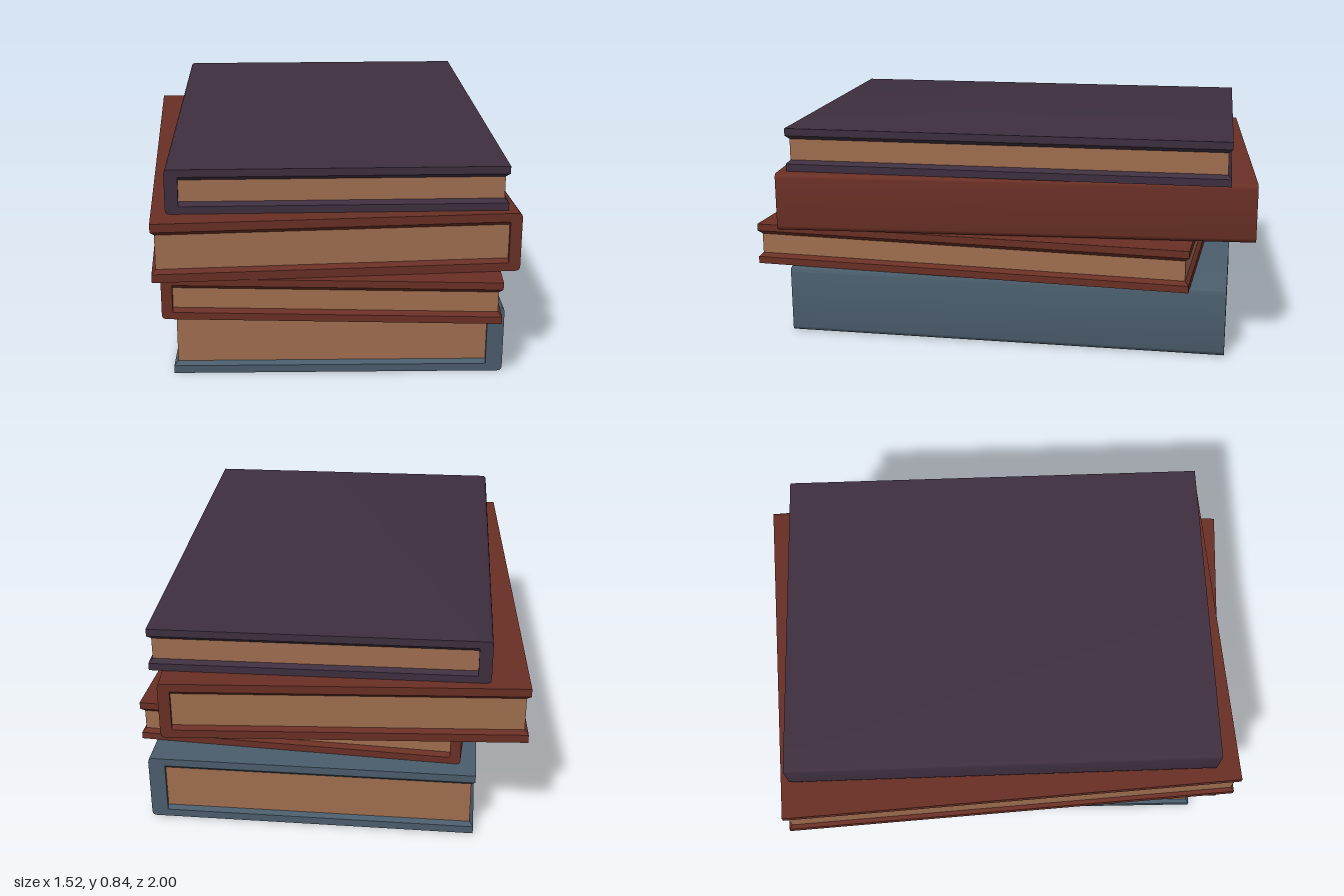
import * as THREE from 'three';
import { toCreasedNormals } from 'three/addons/utils/BufferGeometryUtils.js';

const material = (name, color) => {
  const m = new THREE.MeshStandardMaterial({ color });
  m.name = name;
  return m;
};

const INSET = 0.015; // pages sit this far inside the cover edges
const ROUND = 0.018; // rounding of the spine corners

// C-shaped cover, spine on -x, standing on y = 0
function coverGeometry(w, h, d, board, spine) {
  const l = -w / 2, r = w / 2;
  const s = new THREE.Shape();
  s.moveTo(l + ROUND, 0);
  s.lineTo(r, 0);
  s.lineTo(r, board);
  s.lineTo(l + spine, board);
  s.lineTo(l + spine, h - board);
  s.lineTo(r, h - board);
  s.lineTo(r, h);
  s.lineTo(l + ROUND, h);
  s.quadraticCurveTo(l, h, l, h - ROUND);
  s.lineTo(l, ROUND);
  s.quadraticCurveTo(l, 0, l + ROUND, 0);
  const g = new THREE.ExtrudeGeometry(s, { depth: d, bevelEnabled: false, curveSegments: 3 });
  g.translate(0, 0, -d / 2);
  return toCreasedNormals(g, 0.7);
}

// Sloped lip inside a board: tapers towards the pages on the three open edges
function lipGeometry(w, d, spine, upward) {
  const g = new THREE.BoxGeometry(w - spine, INSET, d);
  const p = g.attributes.position;
  for (let i = 0; i < p.count; i++) {
    if ((p.getY(i) > 0) !== upward) continue;
    if (p.getX(i) > 0) p.setX(i, p.getX(i) - INSET);
    p.setZ(i, p.getZ(i) - Math.sign(p.getZ(i)) * INSET);
  }
  g.computeVertexNormals();
  g.translate(spine / 2, 0, 0);
  return g;
}

function makeBook(name, o, cover, paper) {
  const { w, h, d, board, spine } = o;
  const book = new THREE.Group();
  book.name = name;
  const add = (part, geometry, mat, y = 0) => {
    const mesh = new THREE.Mesh(geometry, mat);
    mesh.name = part;
    mesh.position.y = y;
    book.add(mesh);
  };
  add('cover', coverGeometry(w, h, d, board, spine), cover);
  add('lowerLip', lipGeometry(w, d, spine, true), cover, board + INSET / 2);
  add('upperLip', lipGeometry(w, d, spine, false), cover, h - board - INSET / 2);

  // Page block between the lips
  const pages = new THREE.BoxGeometry(w - spine - INSET, h - 2 * board - 2 * INSET, d - 2 * INSET);
  pages.translate((spine - INSET) / 2, 0, 0);
  add('pages', pages, paper, h / 2);

  book.position.set(o.x, o.y, o.z);
  book.rotation.y = o.turn + (o.spineRight ? Math.PI : 0);
  return book;
}

export function createModel() {
  const paper = material('paper', 0x9f6e4f);
  const blue = material('slate blue', 0x4a5c6b);
  const red = material('oxblood', 0x692f25);
  const purple = material('plum', 0x3e2f3f);

  const model = new THREE.Group();
  model.name = 'bookStack';
  model.add(
    makeBook('bottomBook', { w: 1.28, h: 0.268, d: 1.745, board: 0.031, spine: 0.065,
      x: 0.065, y: 0, z: -0.022, turn: 0, spineRight: true }, blue, paper),
    makeBook('secondBook', { w: 1.277, h: 0.166, d: 1.752, board: 0.028, spine: 0.042,
      x: 0.078, y: 0.268, z: 0.09, turn: -0.052 }, red, paper),
    makeBook('thirdBook', { w: 1.384, h: 0.231, d: 1.885, board: 0.033, spine: 0.045,
      x: -0.007, y: 0.435, z: -0.01, turn: 0.07, spineRight: true }, red, paper),
    makeBook('topBook', { w: 1.285, h: 0.173, d: 1.75, board: 0.029, spine: 0.05,
      x: 0.043, y: 0.667, z: -0.012, turn: 0.0175 }, purple, paper)
  );
  return model;
}
